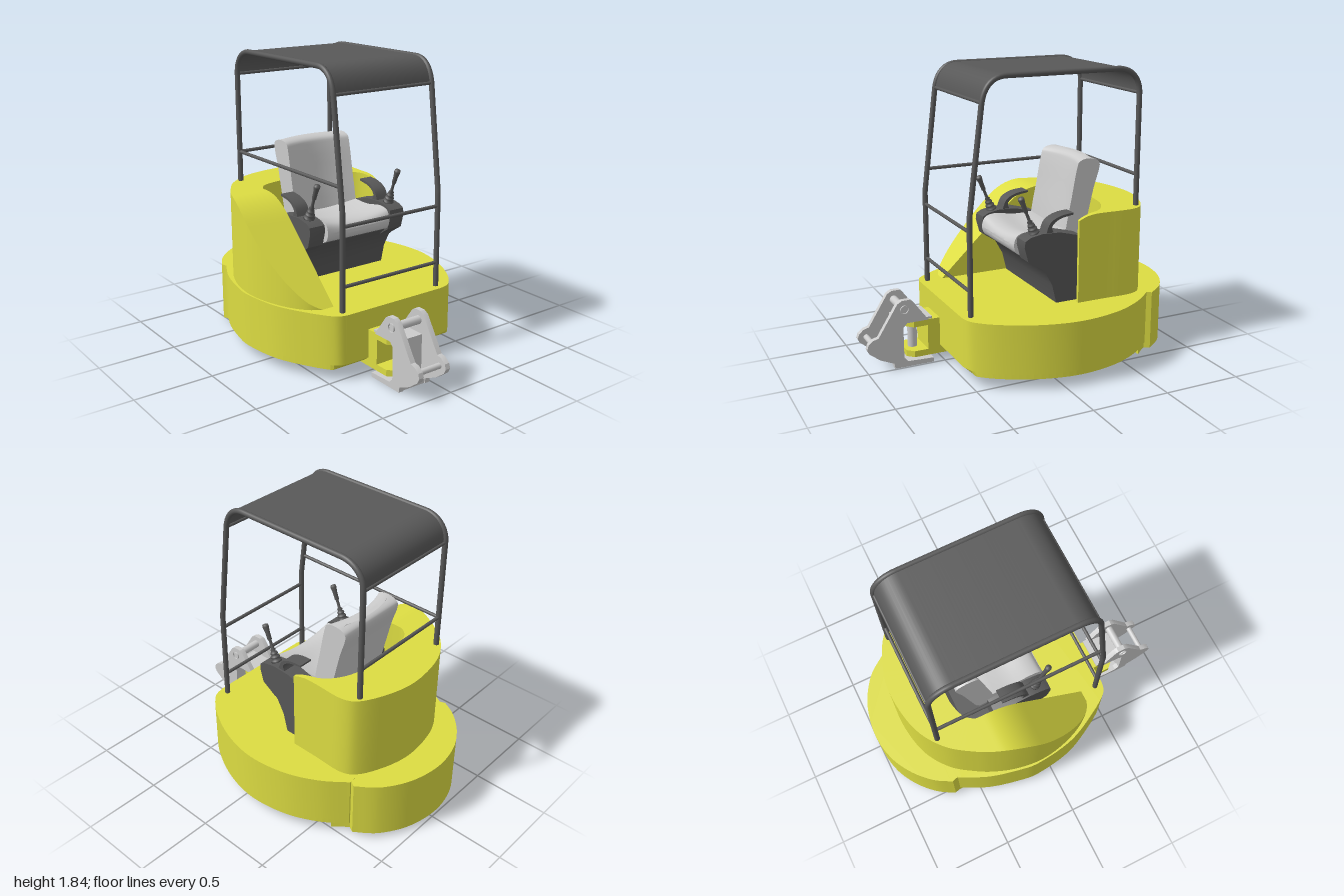
import * as THREE from 'three';
import { toCreasedNormals } from 'three/addons/utils/BufferGeometryUtils.js';
import { ParametricGeometry } from 'three/addons/geometries/ParametricGeometry.js';

const mat = (color) => new THREE.MeshStandardMaterial({ color, side: THREE.DoubleSide });
const YELLOW = mat(0xdcdc42), DARK = mat(0x585858), GREY = mat(0xcccccc);
const V3 = (x, y, z) => new THREE.Vector3(x, y, z);

export function createModel() {
  const model = new THREE.Group();
  const add = (name, geo, material, parent = model) => {
    const mesh = new THREE.Mesh(geo, material);
    mesh.name = name;
    parent.add(mesh);
    return mesh;
  };
  const box = (name, x0, x1, y0, y1, z0, z1, m) =>
    add(name, new THREE.BoxGeometry(x1 - x0, y1 - y0, z1 - z0)
      .translate((x0 + x1) / 2, (y0 + y1) / 2, (z0 + z1) / 2), m);
  const rod = (name, a, b, r, m) =>
    add(name, new THREE.TubeGeometry(new THREE.LineCurve3(a, b), 1, r, 16), m);
  const shapeOf = (pts) => new THREE.Shape(pts.map(([x, y]) => new THREE.Vector2(x, y)));
  // smooth curve through plan points
  const smooth = (pts, n = 40) => new THREE.SplineCurve(pts.map(([x, y]) => new THREE.Vector2(x, y)))
    .getPoints(n).map((p) => [p.x, p.y]);
  // plan outline (x, z) raised from y0 to y1
  const slab = (pts, y0, y1, hole) => {
    const shape = shapeOf(pts.map(([x, z]) => [x, -z]));
    if (hole) shape.holes.push(hole);
    const geo = new THREE.ExtrudeGeometry(shape, { depth: y1 - y0, bevelEnabled: false, curveSegments: 32 });
    return toCreasedNormals(geo.rotateX(-Math.PI / 2).translate(0, y0, 0), 0.5);
  };
  // side profile (x, y) spread from z0 to z1
  const across = (pts, z0, z1, hole) => {
    const shape = shapeOf(pts);
    if (hole) shape.holes.push(hole);
    const geo = new THREE.ExtrudeGeometry(shape, { depth: z1 - z0, bevelEnabled: false });
    return toCreasedNormals(geo.translate(0, 0, z0), 0.5);
  };

  // platform with a shallow round recess and a chamfered front below
  const plan = [
    ...smooth([[0.52, -0.34], [0.49, -0.43], [0.36, -0.54], [0.14, -0.645], [-0.1, -0.69], [-0.35, -0.655], [-0.55, -0.565], [-0.7, -0.45]]),
    ...smooth([[-0.63, 0.53], [-0.45, 0.615], [-0.25, 0.665], [-0.1, 0.68], [0.15, 0.64], [0.36, 0.54], [0.49, 0.45], [0.52, 0.38]]),
  ];
  add('platform', slab(plan, 0.1, 0.41), YELLOW);
  const recess = new THREE.Path().absarc(-0.12, 0, 0.29, 0, Math.PI * 2, true);
  const under = slab(plan, 0.07, 0.1, recess);
  const up = under.attributes.position;
  for (let i = 0; i < up.count; i++) if (up.getY(i) < 0.08) up.setX(i, Math.min(up.getX(i), 0.48));
  under.computeVertexNormals();
  add('platformUnderside', under, YELLOW);

  // counterweight
  add('counterweight', slab([
    ...smooth([[-0.735, -0.46], [-0.86, -0.36], [-0.96, -0.19], [-1, 0.02], [-0.97, 0.21], [-0.89, 0.36], [-0.78, 0.475], [-0.67, 0.54]]),
    [-0.64, 0.53], [-0.61, 0.53], [-0.61, -0.515], [-0.66, -0.47], [-0.7, -0.44],
  ], 0.03, 0.409), YELLOW);

  // shroud: cross-sections swept round the seat, top falling away to the front
  const stations = [ // outer x, z, inner x, z
    [-0.22, -0.42, -0.22, -0.4], [-0.4, -0.42, -0.36, -0.37], [-0.6, -0.42, -0.44, -0.3],
    [-0.7, -0.35, -0.49, -0.2], [-0.785, -0.15, -0.51, -0.08], [-0.805, 0.04, -0.51, 0.05],
    [-0.76, 0.27, -0.5, 0.2], [-0.65, 0.44, -0.47, 0.31], [-0.5, 0.55, -0.42, 0.36],
    ...[[-0.38, 0.61], [-0.25, 0.65], [-0.1, 0.668], [0.05, 0.65], [0.2, 0.6], [0.31, 0.53], [0.36, 0.46], [0.385, 0.39]]
      .map(([x, z]) => [x, z, x, 0.37]),
  ];
  const height = (x) => {
    if (x < -0.35) return 0.965;
    if (x < -0.1) return 0.965 - 1.88 * (x + 0.35) ** 2;
    return Math.max(0.405, 0.8475 - 0.94 * (x + 0.1));
  };
  const line = (k) => new THREE.CatmullRomCurve3(stations.map((s) => V3(s[k], 0, s[k + 1])), false, 'catmullrom');
  const outer = line(0).getPoints(96), inner = line(2).getPoints(96);
  const sections = outer.map((o, i) => {
    const n = inner[i];
    return [V3(o.x, 0.4, o.z), V3(o.x, height(o.x), o.z), V3(n.x, height(n.x), n.z), V3(n.x, 0.4, n.z)];
  });
  const tris = [];
  const quad = (a, b, c, d) => tris.push(a, b, c, a, c, d);
  for (let i = 0; i < sections.length - 1; i++)
    for (let k = 0; k < 3; k++)
      quad(sections[i][k], sections[i + 1][k], sections[i + 1][k + 1], sections[i][k + 1]);
  quad(...sections[0]);
  quad(...sections[sections.length - 1].slice().reverse());
  add('shroud', toCreasedNormals(new THREE.BufferGeometry().setFromPoints(tris), 0.6), YELLOW);

  // seat base
  add('seatBase', across([[-0.46, 0.41], [-0.1, 0.41], [-0.07, 0.53], [-0.02, 0.62], [0.06, 0.69], [0.06, 0.72], [-0.46, 0.72]], -0.36, 0.36), DARK);

  // seat parts: rounded profiles, hollowed towards the middle by the given rule
  const cushion = (name, pts, hollow) => {
    const path = new THREE.CatmullRomCurve3(pts.map(([x, y]) => V3(x, y, 0)), true, 'centripetal').getPoints(40);
    const geo = new THREE.ExtrudeGeometry(shapeOf(path.slice(0, -1).map((p) => [p.x, p.y])),
      { depth: 0.48, steps: 16, bevelEnabled: false }).translate(0, 0, -0.24);
    const p = geo.attributes.position;
    for (let i = 0; i < p.count; i++) hollow(p, i, 1 - (p.getZ(i) / 0.24) ** 2);
    return add(name, toCreasedNormals(geo, 0.8), GREY);
  };
  cushion('backrest', [[-0.26, 0.72], [-0.33, 0.74], [-0.365, 0.85], [-0.42, 1.08], [-0.46, 1.23], [-0.44, 1.255], [-0.37, 1.268], [-0.315, 1.25], [-0.3, 1.21], [-0.265, 1.03], [-0.23, 0.85], [-0.22, 0.74]],
    (p, i, k) => {
      const mid = -0.345 - (p.getY(i) - 1) * 0.22;
      if (p.getX(i) > mid) p.setX(i, p.getX(i) - 0.05 * k);
    });
  cushion('seatCushion', [[-0.32, 0.72], [-0.32, 0.82], [-0.1, 0.83], [0.05, 0.85], [0.11, 0.83], [0.13, 0.77], [0.11, 0.72], [0.06, 0.7], [-0.1, 0.7]],
    (p, i, k) => { if (p.getY(i) > 0.78) p.setY(i, p.getY(i) - 0.035 * k); });

  // control consoles, armrests and levers on both sides
  const leverProfile = [[0, 0], [0.034, 0], [0.034, 0.012], [0.02, 0.02], [0.03, 0.028], [0.028, 0.038], [0.016, 0.044],
    [0.024, 0.052], [0.022, 0.062], [0.012, 0.07], [0.018, 0.078], [0.01, 0.09], [0.009, 0.14], [0.014, 0.15],
    [0.015, 0.2], [0.02, 0.235], [0.018, 0.247], [0, 0.252]].map(([x, y]) => new THREE.Vector2(x, y));
  for (const s of [1, -1]) {
    const z = s * 0.31;
    add('console', across([[-0.3, 0.6], [-0.27, 0.82], [-0.12, 0.86], [0, 0.865], [0.08, 0.85], [0.115, 0.83], [0.12, 0.79], [0.095, 0.7], [0, 0.64]], z - 0.055, z + 0.055), DARK);
    add('armrest', across([...smooth([[-0.215, 0.97], [-0.13, 0.96], [-0.06, 0.925], [-0.03, 0.86]], 12),
      ...smooth([[-0.08, 0.86], [-0.07, 0.9], [-0.12, 0.94], [-0.215, 0.958]], 12)], z - 0.045, z + 0.045), DARK);
    const lever = add('controlLever', new THREE.LatheGeometry(leverProfile, 20), DARK);
    lever.position.set(0.03, 0.86, z);
    lever.rotation.z = -0.38;
  }

  // roll frame: two bent pipes with a wrapped roof sheet
  const ZF = 0.378, ZB = -0.345;
  const roofPath = (z) => {
    const c = new THREE.CurvePath();
    c.add(new THREE.CubicBezierCurve3(V3(-0.665, 1.67, z), V3(-0.665, 1.76, z), V3(-0.6, 1.822, z), V3(-0.51, 1.822, z)));
    c.add(new THREE.LineCurve3(V3(-0.51, 1.822, z), V3(0.23, 1.822, z)));
    c.add(new THREE.CubicBezierCurve3(V3(0.23, 1.822, z), V3(0.32, 1.822, z), V3(0.37, 1.76, z), V3(0.383, 1.67, z)));
    return c;
  };
  for (const z of [ZF, ZB]) {
    const pipe = new THREE.CurvePath();
    pipe.add(new THREE.LineCurve3(V3(-0.665, 0.95, z), V3(-0.665, 1.67, z)));
    roofPath(z).curves.forEach((c) => pipe.add(c));
    pipe.add(new THREE.LineCurve3(V3(0.383, 1.67, z), V3(0.466, 1.01, z)));
    pipe.add(new THREE.LineCurve3(V3(0.466, 1.01, z), V3(0.466, 0.405, z)));
    add('framePipe', new THREE.TubeGeometry(pipe, 140, 0.017, 14), DARK);
  }
  const roof = roofPath(0);
  add('roofSheet', new ParametricGeometry((u, v, t) => {
    const p = roof.getPointAt(u);
    t.set(p.x, p.y + 0.008, ZB + (ZF - ZB) * v);
  }, 60, 1), DARK);
  for (const [x, y, r] of [[-0.665, 1.67, 0.01], [0.383, 1.675, 0.01], [-0.665, 1.16, 0.011], [0.466, 0.93, 0.011], [0.466, 0.565, 0.011]])
    rod('crossBar', V3(x, y, ZB), V3(x, y, ZF), r, DARK);
  rod('sideRail', V3(-0.665, 1.16, ZF), V3(0.447, 1.16, ZF), 0.011, DARK);

  // swing mount: yellow lugs and pivot pin
  const ZC = 0.127;
  const lug = (x0) => [[x0, ZC - 0.1], [0.69, ZC - 0.1], [0.73, ZC - 0.06], [0.73, ZC + 0.06], [0.69, ZC + 0.1], [x0, ZC + 0.1]];
  add('upperLug', slab(lug(0.5), 0.245, 0.283), YELLOW);
  add('lowerLug', slab(lug(0.18), 0.045, 0.085), YELLOW);
  box('mountBlock', 0.46, 0.6, 0.08, 0.25, ZC - 0.1, ZC + 0.1, YELLOW);
  rod('pivotPin', V3(0.67, 0.03, ZC), V3(0.67, 0.29, ZC), 0.03, GREY);

  // tool bracket: two side plates tied by plates and pins
  const plate = [[0.6, 0.288], [0.7, 0.425], [0.72, 0.438], [0.77, 0.438], [0.8, 0.42], [0.925, 0.22], [0.96, 0.21], [0.99, 0.185], [1, 0.155],
    [0.985, 0.125], [0.92, 0.075], [0.83, 0.035], [0.825, 0], [0.57, 0], [0.57, 0.028], [0.74, 0.035], [0.765, 0.06], [0.765, 0.26], [0.74, 0.288]];
  for (const z of [ZC - 0.099, ZC + 0.099])
    add('bracketPlate', across(plate, z - 0.017, z + 0.017), GREY);
  box('bracketTop', 0.57, 0.77, 0.286, 0.3, ZC - 0.1, ZC + 0.1, GREY);
  box('bracketBottom', 0.57, 0.82, 0.001, 0.028, ZC - 0.1, ZC + 0.1, GREY);
  box('bracketWeb', 0.765, 0.79, 0.02, 0.3, ZC - 0.09, ZC + 0.09, GREY);
  rod('upperPin', V3(0.757, 0.38, ZC - 0.125), V3(0.757, 0.38, ZC + 0.125), 0.026, GREY);
  rod('lowerPin', V3(0.945, 0.16, ZC - 0.11), V3(0.945, 0.16, ZC + 0.11), 0.018, GREY);

  return model;
}
